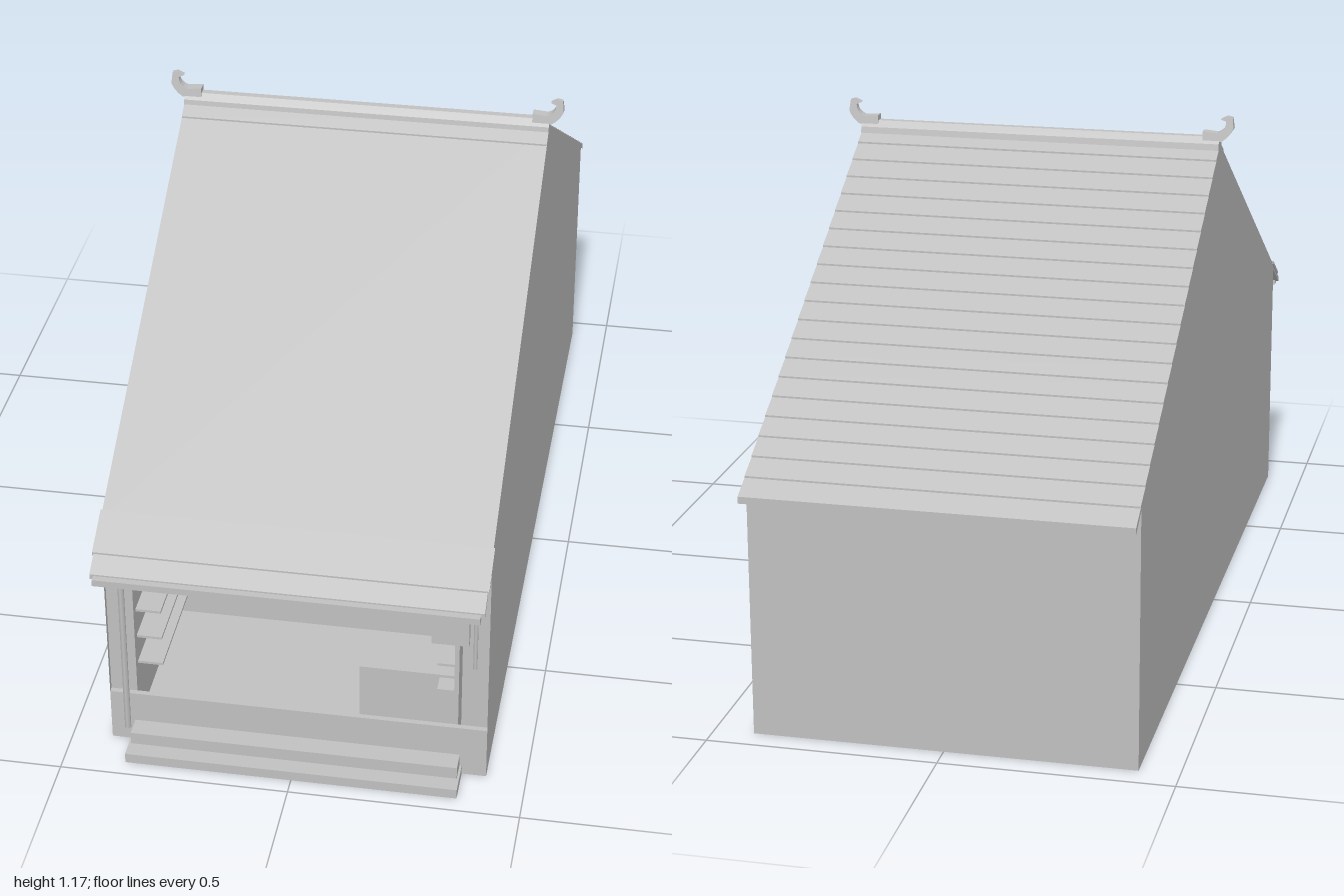
import * as THREE from 'three';

const W = 0.413;                 // half width of the house
const FRONT = 0.88, BACK = -0.945, RIDGE_Z = -0.035, RIDGE_Y = 1.11;

export function createModel() {
  const house = new THREE.Group();
  house.name = 'shopHouse';
  const grey = new THREE.MeshStandardMaterial({ color: 0xc0c0c0, side: THREE.DoubleSide });
  grey.name = 'plainGrey';

  const add = (name, geometry, parent = house) => {
    const mesh = new THREE.Mesh(geometry, grey);
    mesh.name = name;
    parent.add(mesh);
    return mesh;
  };
  // Box given by its limits on each axis
  const box = (name, x0, x1, y0, y1, z0, z1, parent) => {
    const g = new THREE.BoxGeometry(x1 - x0, y1 - y0, z1 - z0);
    g.translate((x0 + x1) / 2, (y0 + y1) / 2, (z0 + z1) / 2);
    return add(name, g, parent);
  };
  const shapeOf = (pts) => new THREE.Shape(pts.map(([a, b]) => new THREE.Vector2(a, b)));
  // Side profile of [z, y] points stretched across x
  const across = (name, pts, x0, x1, parent) => {
    const g = new THREE.ExtrudeGeometry(shapeOf(pts), { depth: x1 - x0, bevelEnabled: false });
    g.rotateY(-Math.PI / 2);
    g.translate(x1, 0, 0);
    return add(name, g, parent);
  };

  // Gable walls
  const gable = [[FRONT, 0], [FRONT, 0.575], [RIDGE_Z, 1.105], [BACK, 0.575], [BACK, 0]];
  for (const side of [-1, 1]) {
    const g = new THREE.ShapeGeometry(shapeOf(gable));
    g.rotateY(-Math.PI / 2);
    g.translate(side * W, 0, 0);
    add(side > 0 ? 'leftGable' : 'rightGable', g);
  }

  // Back wall
  const back = new THREE.PlaneGeometry(2 * W, 0.575);
  back.rotateY(Math.PI);
  back.translate(0, 0.2875, BACK);
  add('backWall', back);

  // Front wall with the shop opening
  const wall = shapeOf([[-W, 0], [W, 0], [W, 0.575], [-W, 0.575]]);
  wall.holes.push(new THREE.Path([[-0.355, 0.04], [-0.355, 0.4], [0.36, 0.4], [0.36, 0.04]]
    .map(([x, y]) => new THREE.Vector2(x, y))));
  const front = new THREE.ShapeGeometry(wall);
  front.translate(0, 0, 0.868);
  add('frontWall', front);
  box('frontSill', -W, W, 0, 0.125, 0.868, FRONT);

  // Shop room
  const room = new THREE.Group();
  room.name = 'shopRoom';
  house.add(room);
  box('roomFloor', -0.36, 0.36, 0.035, 0.042, 0.466, 0.868, room);
  box('roomBack', -0.36, 0.36, 0.035, 0.41, 0.462, 0.47, room);
  box('roomCeiling', -0.36, 0.36, 0.402, 0.41, 0.466, 0.868, room);
  box('roomRightWall', -0.362, -0.355, 0.035, 0.41, 0.466, 0.868, room);
  box('roomLeftWall', 0.355, 0.362, 0.035, 0.41, 0.466, 0.868, room);
  box('shelfBack', 0.335, 0.345, 0.042, 0.402, 0.48, 0.84, room);
  for (const y of [0.19, 0.26, 0.33]) {
    box('rightShelf', -0.355, -0.3, y - 0.003, y + 0.003, 0.48, 0.85, room);
    box('leftShelf', 0.298, 0.335, y - 0.003, y + 0.003, 0.48, 0.84, room);
  }
  box('counter', 0.123, 0.334, 0.042, 0.2, 0.68, 0.8, room);
  box('hangingBox', 0.29, 0.37, 0.35, 0.44, 0.84, 0.884, room);

  // Front roof slope, cover board below the ridge and eave
  const slopeY = (z) => RIDGE_Y - Math.abs(z - RIDGE_Z) * 0.58;
  const slab = (name, z0, z1, lift, thick, x) => across(name, [
    [z0, slopeY(z0) + lift], [z1, slopeY(z1) + lift],
    [z1, slopeY(z1) + lift - thick], [z0, slopeY(z0) + lift - thick]], -x, x);
  slab('frontRoof', RIDGE_Z, 0.875, 0, 0.01, W);
  slab('ridgeBoard', RIDGE_Z, 0.015, 0.004, 0.01, W);
  slab('eaveBoard', 0.885, 0.985, 0, 0.012, W);
  slab('eaveCover', 0.86, 0.945, 0.004, 0.008, W + 0.003);
  box('eaveBeam', -0.405, 0.405, 0.5, 0.515, 0.975, 1, house);
  box('eaveRail', -0.35, 0.345, 0.497, 0.504, 0.955, 0.97, house);

  // Back roof made of overlapping courses
  slab('backRoof', -1, RIDGE_Z, -0.004, 0.01, W);
  const courses = 20, step = (1 + RIDGE_Z) / courses;
  for (let i = 0; i < courses; i++) {
    const z0 = RIDGE_Z - i * step, z1 = z0 - step;
    across('roofCourse', [
      [z0, slopeY(z0) - 0.003], [z1, slopeY(z1) + 0.001],
      [z1, slopeY(z1) - 0.006], [z0, slopeY(z0) - 0.006]], -W, W);
  }

  // Ridge beam
  across('ridgeBeam', [[-0.058, 1.098], [-0.055, 1.112], [-0.043, 1.126],
    [-0.027, 1.126], [-0.015, 1.112], [-0.012, 1.098]], -W, W);

  // Curled ridge ends, thinner towards the tip
  const horn = new THREE.Shape();
  horn.moveTo(0.375, 1.116);
  horn.lineTo(0.418, 1.117);
  horn.quadraticCurveTo(0.436, 1.128, 0.444, 1.146);
  horn.lineTo(0.441, 1.171);
  horn.lineTo(0.43, 1.174);
  horn.lineTo(0.415, 1.166);
  horn.lineTo(0.427, 1.161);
  horn.quadraticCurveTo(0.427, 1.142, 0.408, 1.135);
  horn.lineTo(0.375, 1.138);
  for (const side of [-1, 1]) {
    const g = new THREE.ExtrudeGeometry(horn, { depth: 0.03, bevelEnabled: false, curveSegments: 4 });
    g.translate(0, 0, -0.015);
    const p = g.attributes.position;
    for (let i = 0; i < p.count; i++) {
      const taper = 1 - 0.7 * THREE.MathUtils.clamp((p.getY(i) - 1.116) / 0.058, 0, 1);
      p.setZ(i, p.getZ(i) * taper);
    }
    if (side < 0) g.rotateY(Math.PI);
    g.translate(0, 0, RIDGE_Z);
    g.computeVertexNormals();
    add(side > 0 ? 'leftRidgeHorn' : 'rightRidgeHorn', g);
  }

  // Eave supports: a long post on one side, a short bracket on the other
  const support = (name, x, foot, r) => {
    const path = new THREE.CurvePath();
    const v = [[foot, 0.891], [0.43, 0.891], [0.465, 0.93], [0.505, 0.985]]
      .map(([y, z]) => new THREE.Vector3(x, y, z));
    for (let i = 0; i < 3; i++) path.add(new THREE.LineCurve3(v[i], v[i + 1]));
    add(name, new THREE.TubeGeometry(path, 24, r, 6));
  };
  support('longPost', -0.374, 0.04, 0.007);
  support('shortBracket', 0.385, 0.3, 0.005);
  box('eaveTie', -0.395, 0.395, 0.515, 0.53, 0.882, 0.896);

  // Entrance steps
  box('lowerStep', -0.365, 0.36, 0, 0.023, FRONT, 0.962);
  box('upperStep', -0.36, 0.355, 0.023, 0.052, FRONT, 0.925);

  return house;
}
